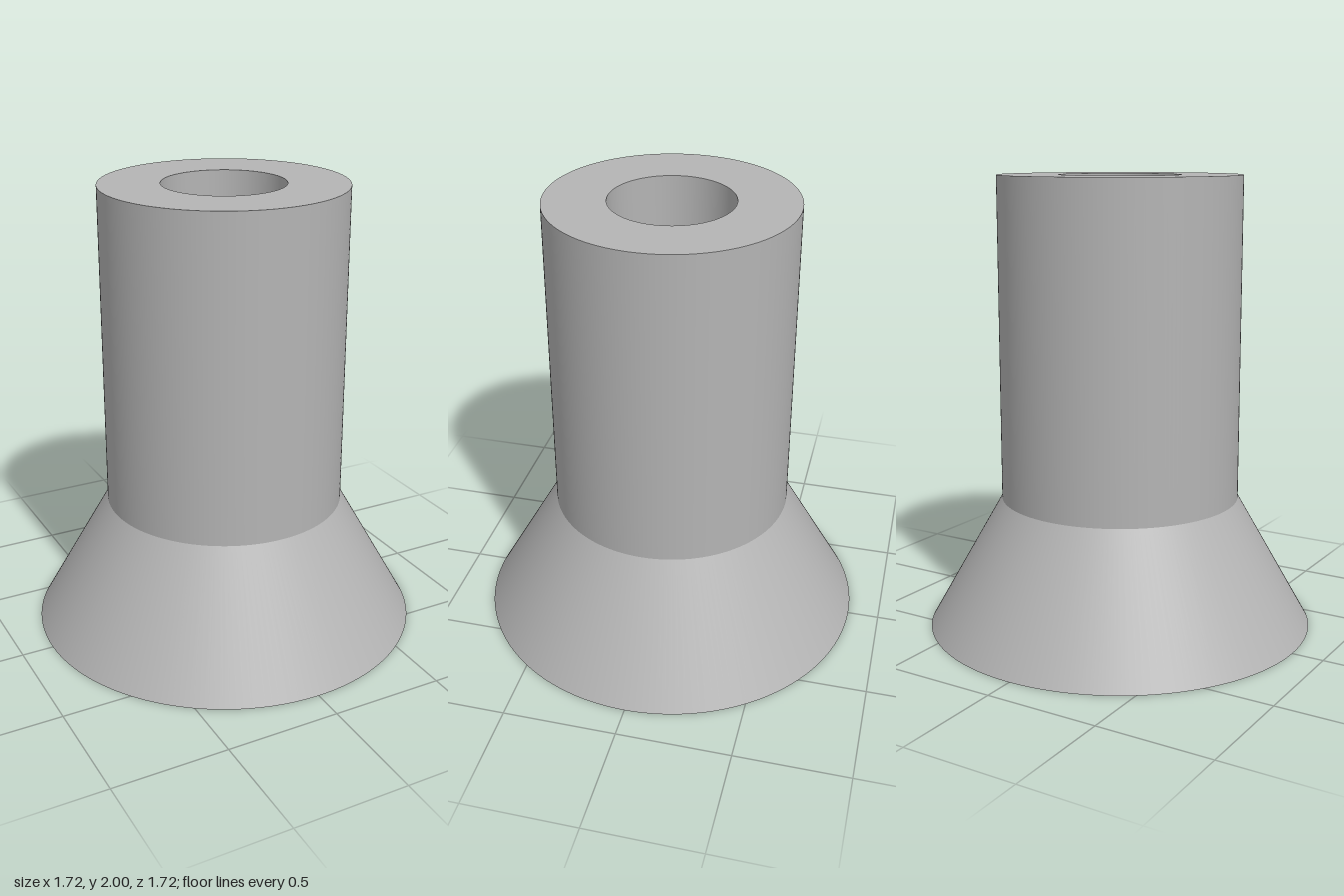
import * as THREE from 'three';

const SEGMENTS = 180;
const BORE = 0.265, SHAFT = 0.53, FOOT = 0.86;
const SHOULDER = 0.58, TOP = 2;

export function createModel() {
  const group = new THREE.Group();
  group.name = 'flaredSleeve';
  const grey = new THREE.MeshStandardMaterial({ color: 0xb4b4b4 });
  grey.name = 'grey';

  // Each straight run of the profile is turned separately, so its edges stay sharp
  const turn = (name, from, to) => {
    const points = [new THREE.Vector2(...from), new THREE.Vector2(...to)];
    const mesh = new THREE.Mesh(new THREE.LatheGeometry(points, SEGMENTS), grey);
    mesh.name = name;
    group.add(mesh);
  };

  // Closed profile: up the outside, across the top, down the bore, out along the base
  turn('flaredFoot', [FOOT, 0], [SHAFT, SHOULDER]);
  turn('shaft', [SHAFT, SHOULDER], [SHAFT, TOP]);
  turn('topRim', [SHAFT, TOP], [BORE, TOP]);
  turn('bore', [BORE, TOP], [BORE, 0]);
  turn('base', [BORE, 0], [FOOT, 0]);

  return group;
}
